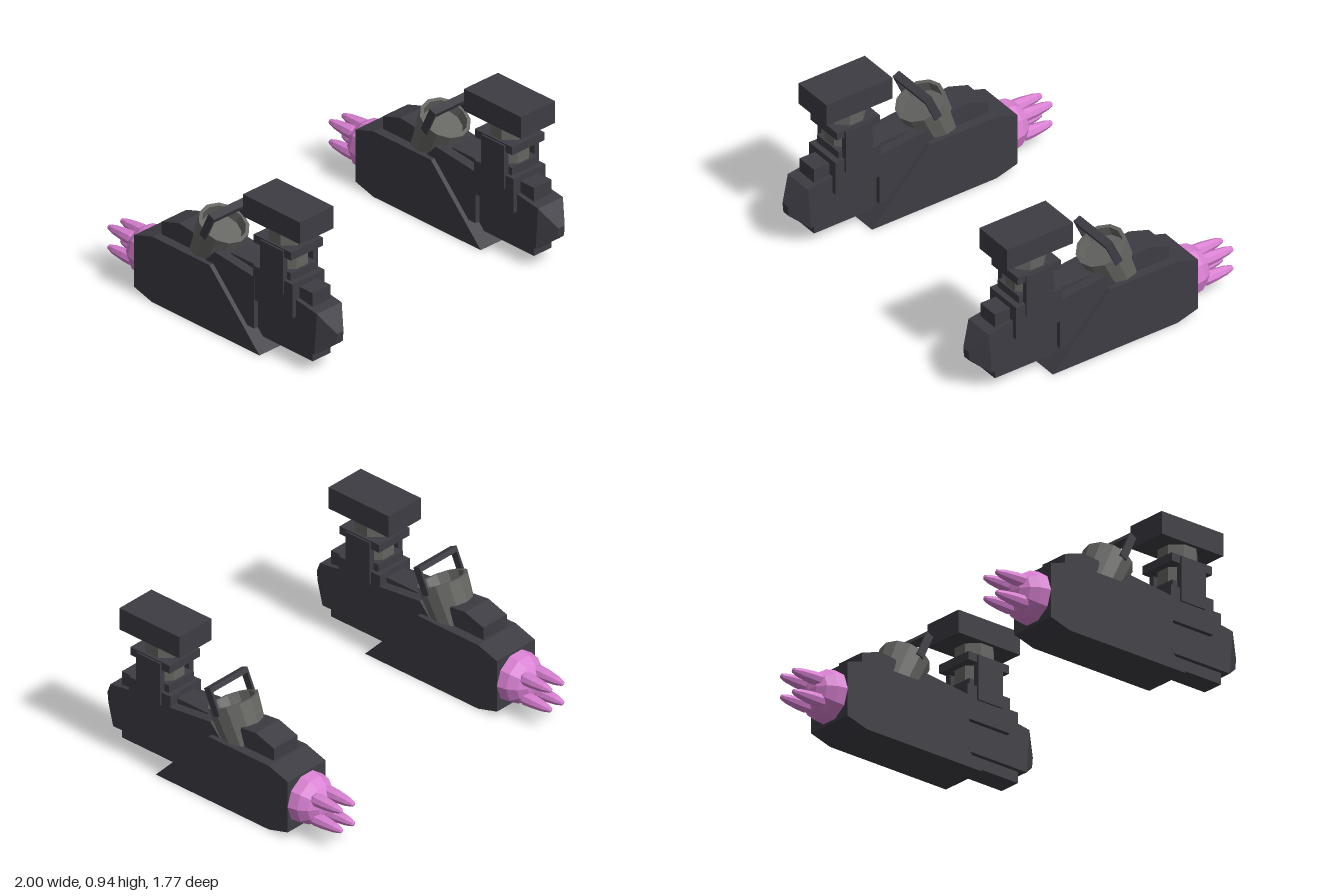
import * as THREE from 'three';

const mat = (color, side = THREE.FrontSide) =>
  new THREE.MeshStandardMaterial({ color, flatShading: true, side });
const dark = mat(0x3d3c43);
const grey = mat(0x646461, THREE.DoubleSide);
const pink = mat(0xd980d2);

function add(parent, name, geometry, material) {
  const mesh = new THREE.Mesh(geometry, material);
  mesh.name = name;
  parent.add(mesh);
  return mesh;
}

// Side profile of [z, y] points, extruded evenly across x
function profile(points, halfWidth) {
  const shape = new THREE.Shape(points.map(([z, y]) => new THREE.Vector2(z, y)));
  const g = new THREE.ExtrudeGeometry(shape, { depth: halfWidth * 2, bevelEnabled: false });
  return g.translate(0, 0, -halfWidth).rotateY(-Math.PI / 2);
}

// Box given by its half width and its z and y limits
function block(halfWidth, z0, z1, y0, y1, x = 0) {
  return new THREE.BoxGeometry(halfWidth * 2, y1 - y0, z1 - z0)
    .translate(x, (y0 + y1) / 2, (z0 + z1) / 2);
}

// Four-sided nose narrowing to a small blunt tip
function noseGeometry() {
  const g = new THREE.BoxGeometry(0.19, 0.26, 0.1);
  const p = g.attributes.position;
  for (let i = 0; i < p.count; i++) {
    const front = p.getZ(i) > 0, top = p.getY(i) > 0, s = Math.sign(p.getX(i));
    if (front) p.setXYZ(i, s * 0.025, top ? 0.275 : 0.212, top ? 0.886 : 0.88);
    else p.setXYZ(i, s * 0.095, top ? 0.392 : 0.13, top ? 0.8 : 0.78);
  }
  return g;
}

function createPod() {
  const pod = new THREE.Group();

  // Hull
  add(pod, 'rearShell', profile(
    [[0.41, 0], [0.02, 0.41], [-0.43, 0.41], [-0.57, 0.365], [-0.57, 0.04], [-0.43, 0]], 0.153), dark);
  add(pod, 'frontBody', profile(
    [[0.78, 0.13], [0.8, 0.392], [0.62, 0.42], [0.03, 0.488], [-0.05, 0.4], [0.2, 0.13]], 0.095), dark);
  add(pod, 'bodyShoulder', profile(
    [[0.34, 0.13], [0.34, 0.452], [0.03, 0.487], [-0.05, 0.4], [0.2, 0.13]], 0.125), dark);
  add(pod, 'nose', noseGeometry(), dark);
  add(pod, 'keel', block(0.068, 0.1, 0.74, 0.062, 0.488), dark);
  add(pod, 'rearHump', profile(
    [[-0.15, 0.4], [-0.17, 0.52], [-0.28, 0.532], [-0.415, 0.488], [-0.415, 0.4]], 0.095), dark);

  // Mounting tower
  add(pod, 'clamp', block(0.123, 0.328, 0.636, 0.31, 0.522), dark);
  add(pod, 'columnFoot', block(0.1, 0.36, 0.6, 0.5, 0.57), dark);
  const column = new THREE.CylinderGeometry(0.115, 0.115, 0.32, 8).rotateY(Math.PI / 8);
  add(pod, 'column', column.translate(0, 0.66, 0.482), grey);
  add(pod, 'collar', block(0.123, 0.334, 0.626, 0.668, 0.718), dark);
  for (const s of [-1, 1])
    add(pod, 'clampPlate', block(0.018, 0.395, 0.573, 0.44, 0.71, s * 0.116), dark);
  add(pod, 'mountingBlock', block(0.13, 0.256, 0.702, 0.803, 0.94), dark);

  // Tilted open intake cup with its handle
  const cup = new THREE.Group();
  cup.name = 'intakeCup';
  cup.position.set(0, 0.598, -0.023);
  cup.rotation.x = 0.43;
  const wall = [[0, -0.28], [0.125, -0.28], [0.148, 0], [0.127, 0], [0.12, -0.06], [0, -0.06]];
  add(cup, 'cupWall', new THREE.LatheGeometry(wall.map(([r, y]) => new THREE.Vector2(r, y)), 12), grey);
  for (const s of [-1, 1])
    add(cup, 'handleSide', block(0.007, -0.024, 0.024, -0.04, 0.13, s * 0.145), dark);
  add(cup, 'handleBar', block(0.152, -0.024, 0.024, 0.1, 0.13), dark);
  pod.add(cup);

  // Exhaust glow with four flames
  const dome = new THREE.SphereGeometry(0.155, 10, 4, 0, Math.PI * 2, 0, Math.PI / 2);
  add(pod, 'exhaustDome', dome.rotateX(-Math.PI / 2).translate(0, 0.203, -0.57), pink);
  const flame = [[0, -0.88], [0.015, -0.872], [0.027, -0.83], [0.037, -0.75], [0.04, -0.69], [0.028, -0.65], [0, -0.63]];
  for (const x of [-0.049, 0.049]) for (const y of [0.13, 0.256]) {
    const g = new THREE.LatheGeometry(flame.map(([r, z]) => new THREE.Vector2(r, z)), 8);
    add(pod, 'exhaustFlame', g.rotateX(Math.PI / 2).translate(x, y, 0), pink);
  }
  return pod;
}

export function createModel() {
  const model = new THREE.Group();
  model.name = 'twinEnginePods';
  for (const s of [1, -1]) {
    const pod = createPod();
    pod.name = s > 0 ? 'leftEnginePod' : 'rightEnginePod';
    pod.position.x = s * 0.847;
    model.add(pod);
  }
  return model;
}
